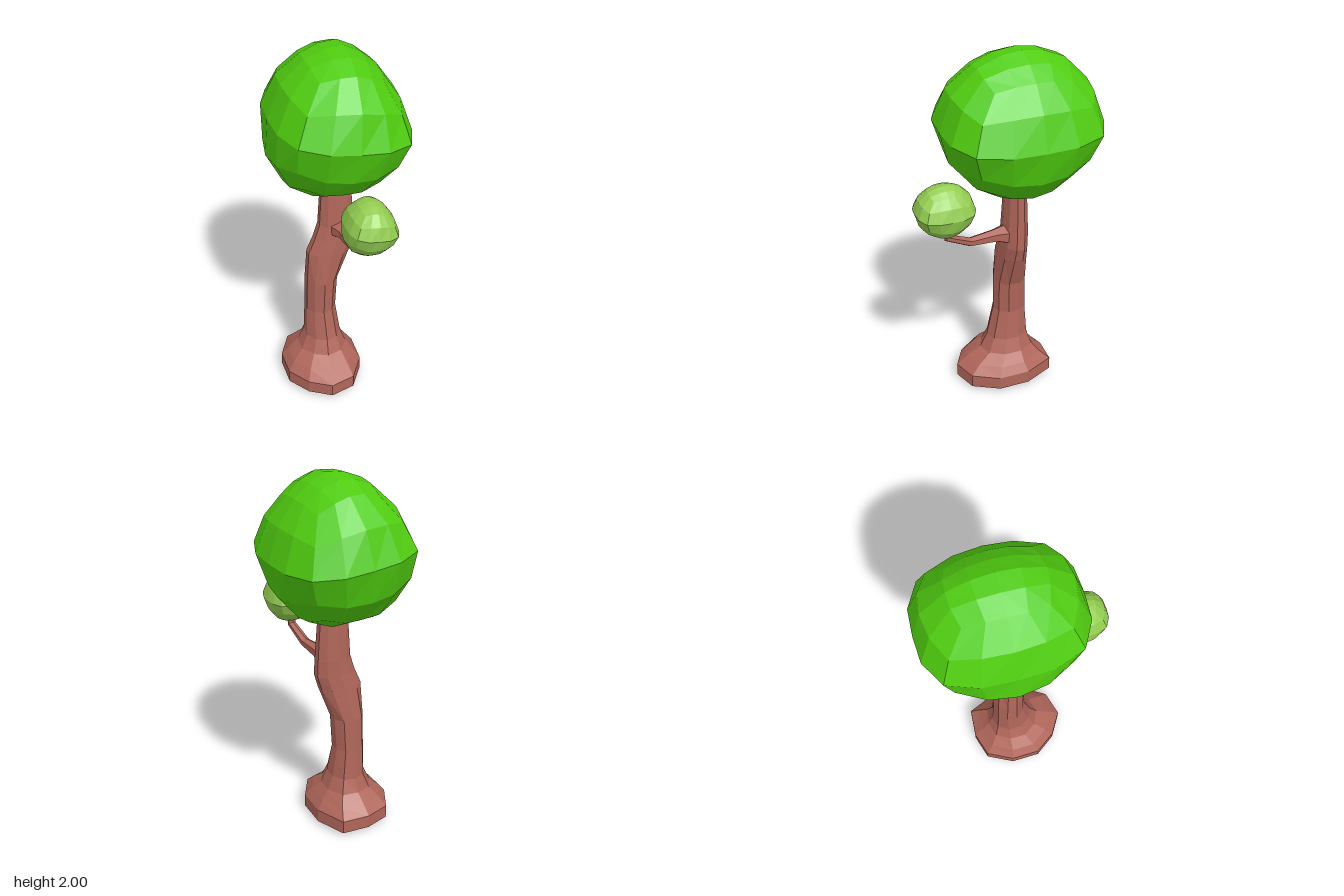
import * as THREE from 'three';

const paint = (color) => new THREE.MeshStandardMaterial({ color, flatShading: true });

// Rounded, slightly lopsided box used for every clump of leaves
function crownGeometry() {
  const geo = new THREE.BoxGeometry(2, 2, 2, 4, 4, 4);
  const pos = geo.attributes.position;
  const n = new THREE.Vector3();
  const narrow = (c) => c * (0.8 + 0.2 * c * c);
  for (let i = 0; i < pos.count; i++) {
    n.fromBufferAttribute(pos, i);
    // small top face, larger bottom face, tall sides
    const stretch = n.y > 0 ? 0.5 : 0.25;
    n.set(narrow(n.x), n.y + stretch * n.y ** 3, narrow(n.z)).normalize();
    // squarish in plan around the middle, round towards top and bottom
    const round = Math.hypot(n.x, n.z);
    const square = (Math.abs(n.x) ** 3.2 + Math.abs(n.z) ** 3.2) ** (1 / 3.2);
    const plan = THREE.MathUtils.lerp(square, round, Math.min(1, 1.5 * Math.abs(n.y)));
    n.divideScalar(Math.hypot(plan, n.y));
    // heavier low down and on the right-hand side, with a flattened underside
    const sag = n.y > 0 ? 0.12 : 0.2;
    const f = 1 - sag * n.y * Math.abs(n.x) - 0.08 * n.x * Math.abs(n.y);
    const flat = n.y < 0 ? 1 - 0.12 * n.y ** 3 * round : 1;
    pos.setXYZ(i, n.x * f * 0.355, n.y * f * flat * 0.38, n.z * 0.42);
  }
  geo.rotateZ(-0.11);
  geo.computeVertexNormals();
  return geo;
}

// Closed tube through sections [x, y, z, pitch, width radius, depth radius, spread];
// pitch 0 points forward, 90 points up; spread pushes the corners out unevenly
function loft(sections, sides) {
  const verts = [];
  const index = [];
  for (const [x, y, z, pitch, ru, rv, spread = 0] of sections) {
    const t = THREE.MathUtils.degToRad(pitch);
    for (let j = 0; j < sides; j++) {
      const a = ((j + 0.5) / sides) * Math.PI * 2;
      const c = Math.cos(a);
      const s = Math.sin(a);
      const k = 1 + spread * Math.sin(2 * a) ** 2 * (0.05 + 0.13 * c + 0.09 * s);
      const v = s * rv * k;
      verts.push(x + c * ru * k, y + v * Math.cos(t), z - v * Math.sin(t));
    }
  }
  const rows = sections.length;
  for (let i = 0; i < rows - 1; i++) {
    for (let j = 0; j < sides; j++) {
      const a = i * sides + j;
      const b = i * sides + ((j + 1) % sides);
      index.push(a, b, a + sides, b, b + sides, a + sides);
    }
  }
  // end caps
  const top = (rows - 1) * sides;
  for (let j = 1; j < sides - 1; j++) {
    index.push(0, j + 1, j, top, top + j, top + j + 1);
  }
  const geo = new THREE.BufferGeometry();
  geo.setAttribute('position', new THREE.Float32BufferAttribute(verts, 3));
  geo.setIndex(index);
  geo.computeVertexNormals();
  return geo;
}

export function createModel() {
  const tree = new THREE.Group();
  tree.name = 'tree';
  const bark = paint(0xb0665a);

  const add = (name, geometry, material) => {
    const mesh = new THREE.Mesh(geometry, material);
    mesh.name = name;
    tree.add(mesh);
    return mesh;
  };

  // Trunk: flared foot, bend to the left, slim top hidden in the crown
  const trunk = [
    [-0.118, 0.0, -0.025, 0.19, 0.23, 1],
    [-0.118, 0.022, -0.025, 0.221, 0.266, 1],
    [-0.118, 0.095, -0.025, 0.221, 0.266, 1],
    [-0.112, 0.145, -0.03, 0.186, 0.212, 0.8],
    [-0.1, 0.2, -0.048, 0.136, 0.15, 0.6],
    [-0.095, 0.28, -0.055, 0.102, 0.118, 0.4],
    [-0.1, 0.45, -0.07, 0.086, 0.092, 0.4],
    [-0.093, 0.64, -0.067, 0.09, 0.09, 0.4],
    [-0.05, 0.83, -0.062, 0.122, 0.077, 0.2],
    [-0.02, 0.91, -0.062, 0.117, 0.072, 0],
    [-0.006, 1.0, -0.065, 0.1, 0.068, 0],
    [-0.005, 1.35, -0.07, 0.077, 0.052, 0],
  ].map(([x, y, z, rx, rz, spread]) => [x, y, z, 90, rx, rz, spread]);
  add('trunk', loft(trunk, 10), bark);

  // Side branch reaching forward and turning up into the small crown
  add('branch', loft([
    [0.0, 0.98, -0.05, 0, 0.06, 0.058],
    [0.005, 0.98, 0.0, 0, 0.058, 0.052],
    [0.012, 0.987, 0.05, 0, 0.04, 0.038],
    [0.025, 0.988, 0.2, 12, 0.027, 0.025],
    [0.042, 1.05, 0.33, 48, 0.023, 0.021],
    [0.046, 1.14, 0.345, 90, 0.02, 0.018],
  ], 6), bark);

  // Leaves: one shape at two sizes
  const leaves = crownGeometry();
  add('mainCrown', leaves, paint(0x50cc10)).position.set(0, 1.62, -0.08);
  const small = add('smallCrown', leaves, paint(0x92cc50));
  small.position.set(0.047, 1.223, 0.345);
  small.scale.setScalar(0.37);

  return tree;
}
